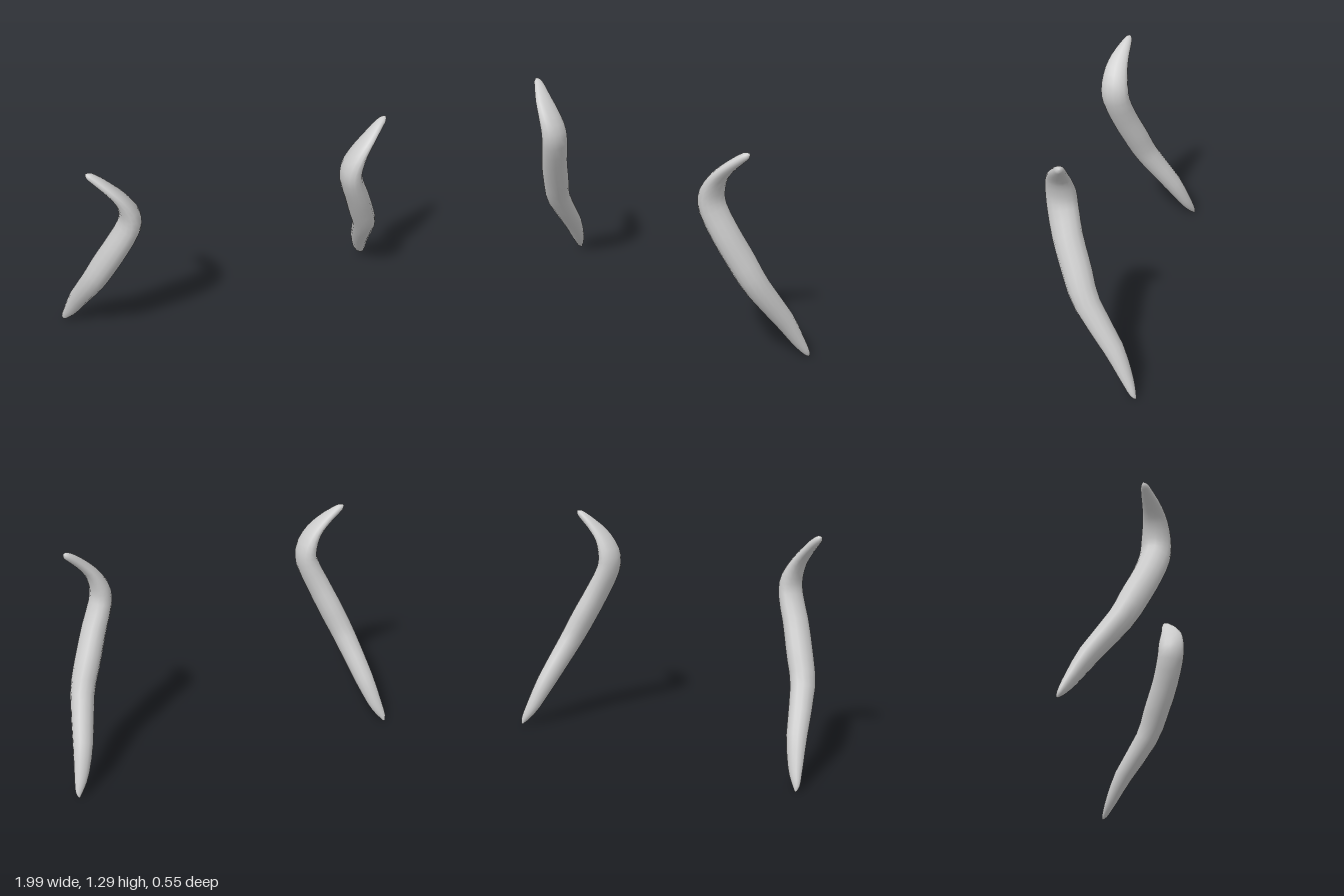
import * as THREE from 'three';

// Horn stations from bottom tip to hooked tip: [x, y, z, half width, half depth]
const STATIONS = [
  [0.98, 0.004, -0.272, 0.007, 0.007],
  [0.974, 0.03, -0.257, 0.022, 0.02],
  [0.945, 0.1, -0.22, 0.041, 0.036],
  [0.9, 0.25, -0.139, 0.058, 0.057],
  [0.832, 0.5, 0.029, 0.069, 0.074],
  [0.772, 0.65, 0.09, 0.072, 0.082],
  [0.71, 0.8, 0.148, 0.069, 0.083],
  [0.65, 0.95, 0.188, 0.063, 0.085],
  [0.648, 1.03, 0.195, 0.057, 0.084],
  [0.69, 1.125, 0.194, 0.039, 0.072],
  [0.744, 1.19, 0.182, 0.031, 0.056],
  [0.81, 1.253, 0.158, 0.026, 0.034],
  [0.842, 1.278, 0.148, 0.02, 0.022],
  [0.855, 1.288, 0.144, 0.008, 0.009],
];
const RINGS = 30;
const SIDES = 14;

// Elliptical sections swept along the centre line, closed at both tips
function hornGeometry(side) {
  const centre = new THREE.CatmullRomCurve3(STATIONS.map(s => new THREE.Vector3(s[0], s[1], s[2])));
  const radii = new THREE.CatmullRomCurve3(STATIONS.map(s => new THREE.Vector3(s[3], s[4], 0)));
  const positions = [];
  const indices = [];
  const add = p => positions.push(p.x * side, p.y, p.z);
  const tri = (a, b, c) => (side > 0 ? indices.push(a, b, c) : indices.push(a, c, b));

  for (let i = 0; i <= RINGS; i++) {
    const t = i / RINGS;
    const p = centre.getPoint(t);
    const r = radii.getPoint(t);
    const tangent = centre.getTangent(t);
    const u = new THREE.Vector3().crossVectors(tangent, new THREE.Vector3(0, 0, 1)).normalize();
    const v = new THREE.Vector3().crossVectors(u, tangent);
    for (let j = 0; j < SIDES; j++) {
      const angle = (j / SIDES) * Math.PI * 2;
      add(p.clone().addScaledVector(u, r.x * Math.cos(angle)).addScaledVector(v, r.y * Math.sin(angle)));
    }
  }
  for (let i = 0; i < RINGS; i++) {
    for (let j = 0; j < SIDES; j++) {
      const k = (j + 1) % SIDES;
      const a = i * SIDES + j, b = i * SIDES + k;
      const c = a + SIDES, d = b + SIDES;
      tri(a, c, b);
      tri(b, c, d);
    }
  }
  // Tip caps
  const bottom = positions.length / 3;
  add(centre.getPoint(0).add(new THREE.Vector3(0.001, -0.004, -0.003)));
  add(centre.getPoint(1).add(new THREE.Vector3(0.004, 0.003, -0.001)));
  const last = RINGS * SIDES;
  for (let j = 0; j < SIDES; j++) {
    const k = (j + 1) % SIDES;
    tri(bottom, j, k);
    tri(bottom + 1, last + k, last + j);
  }

  const geometry = new THREE.BufferGeometry();
  geometry.setAttribute('position', new THREE.Float32BufferAttribute(positions, 3));
  geometry.setIndex(indices);
  geometry.computeVertexNormals();
  return geometry;
}

export function createModel() {
  const group = new THREE.Group();
  group.name = 'hornPair';
  const material = new THREE.MeshStandardMaterial({ color: 0xcccccc });
  material.name = 'lightGrey';
  for (const [name, side] of [['leftHorn', 1], ['rightHorn', -1]]) {
    const horn = new THREE.Mesh(hornGeometry(side), material);
    horn.name = name;
    group.add(horn);
  }
  return group;
}
